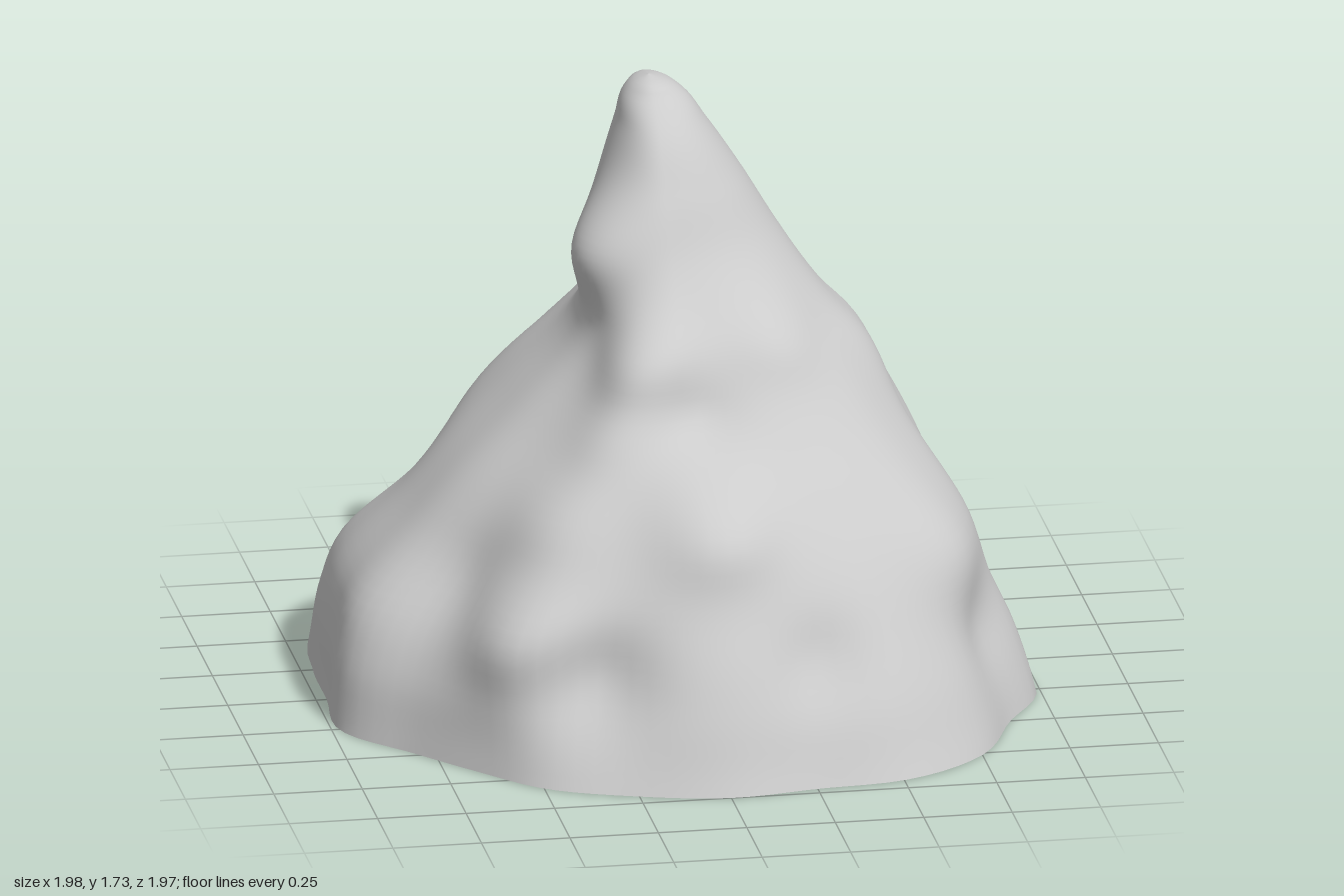
import * as THREE from 'three';

const HEIGHT = 1.73, SIDES = 112, LEVELS = 72;

// Cross-section extents by height: y, -x, +x, -z, +z
const RINGS = [
  [0, -0.99, 0.985, -0.98, 1.0],
  [0.05, -0.985, 0.975, -0.965, 0.98],
  [0.2, -0.97, 0.93, -0.94, 0.93],
  [0.36, -0.92, 0.86, -0.94, 0.86],
  [0.55, -0.74, 0.81, -0.92, 0.74],
  [0.7, -0.6, 0.75, -0.87, 0.62],
  [0.85, -0.44, 0.66, -0.78, 0.49],
  [1.0, -0.29, 0.56, -0.665, 0.37],
  [1.09, -0.24, 0.47, -0.58, 0.31],
  [1.18, -0.225, 0.4, -0.475, 0.24],
  [1.3, -0.21, 0.32, -0.415, 0.155],
  [1.45, -0.17, 0.23, -0.38, 0.085],
  [1.6, -0.125, 0.13, -0.33, 0.0],
  [1.69, -0.095, 0.06, -0.285, -0.09],
  [1.72, -0.06, 0.01, -0.24, -0.13],
  [HEIGHT, -0.03, -0.03, -0.18, -0.18],
];

// Irregularity of the foot every 15 degrees, from +x towards +z
const FOOT = [0.95, 1.04, 1.02, 1.08, 1.07, 1.0, 1.0, 0.98, 0.98, 0.94, 0.95, 1.02,
  0.98, 1.01, 1.07, 0.99, 1.01, 1.02, 0.98, 0.98, 1.0, 1.04, 1.0, 0.98];

// Bulges and hollows: x, y, z, size, push outwards
const BUMPS = [
  [-0.56, 0.42, 0.68, 0.18, 0.09],  // front buttress, low
  [-0.42, 0.68, 0.5, 0.15, 0.05],   // front buttress, middle
  [-0.26, 0.88, 0.4, 0.13, 0.04],   // front buttress, upper
  [-0.16, 1.06, 0.31, 0.13, 0.09],  // ledge at its top
  [0.24, 1.06, 0.24, 0.13, 0.04],   // second ledge
  [-0.76, 0.45, 0.4, 0.2, -0.08],   // gully outside the buttress
  [-0.36, 0.28, 0.82, 0.17, -0.09], // hollow inside it
  [0.02, 0.66, 0.64, 0.17, 0.09],   // front shelf
  [0.02, 0.9, 0.45, 0.12, -0.05],   // hollow above shelf
  [0.3, 0.32, 0.84, 0.13, -0.04],   // front cleft
  [-0.2, 1.3, 0.02, 0.15, 0.09],    // knob below the summit
  [0.78, 0.54, 0.46, 0.2, 0.1],     // left shoulder
  [0.88, 0.3, 0.5, 0.12, -0.05],    // undercut below it
  [0.7, 0.68, -0.05, 0.2, -0.08],   // left valley
  [0.7, 0.5, -0.62, 0.24, 0.07],    // overhang at back left
  [0.56, 0.17, -0.8, 0.13, -0.08],  // undercut below it
  [0.9, 0.32, -0.22, 0.16, 0.03],
  [-0.66, 0.5, -0.56, 0.26, -0.09], // back right hollow
  [-0.2, 0.55, -0.86, 0.17, 0.03],  // back ledge
  [-0.2, 1.1, -0.45, 0.2, -0.05],   // steep back of the neck
];

const extents = new THREE.CubicInterpolant(RINGS.map(r => r[0]), RINGS.flatMap(r => r.slice(1)), 4);
const wrapped = [...FOOT.slice(-2), ...FOOT, ...FOOT.slice(0, 3)];
const foot = new THREE.CubicInterpolant(wrapped.map((_, i) => i - 2), wrapped, 1);

function surfacePoint(angle, y) {
  const [left, right, back, front] = extents.evaluate(y);
  const cx = -0.03 * y / HEIGHT, cz = -0.18 * y / HEIGHT;
  const c = Math.cos(angle), s = Math.sin(angle);
  const fade = Math.max(0, 1 - y / 1.3);
  const k = 1 + (foot.evaluate(angle * 12 / Math.PI)[0] - 1) * fade;
  const p = new THREE.Vector3(
    cx + c * k * Math.abs((c > 0 ? right : left) - cx), y,
    cz + s * k * Math.abs((s > 0 ? front : back) - cz));
  let push = 0;
  for (const [bx, by, bz, size, amount] of BUMPS) {
    const d2 = (p.x - bx) ** 2 + (p.y - by) ** 2 + (p.z - bz) ** 2;
    push += amount * Math.exp(-d2 / (size * size));
  }
  p.x += c * push;
  p.z += s * push;
  return p;
}

export function createModel() {
  const group = new THREE.Group();
  group.name = 'rockMound';
  const material = new THREE.MeshStandardMaterial({ color: 0xcccccc });

  // Rock body: stacked loops, denser towards the rounded summit
  const positions = [], index = [], rim = [];
  for (let i = 0; i <= LEVELS; i++) {
    const y = HEIGHT * (1 - (1 - i / LEVELS) ** 1.5);
    for (let j = 0; j < SIDES; j++) {
      const p = surfacePoint(j / SIDES * Math.PI * 2, y);
      positions.push(p.x, p.y, p.z);
      if (i === 0) rim.push(new THREE.Vector2(p.x, p.z));
      if (i === LEVELS) continue;
      const a = i * SIDES + j, b = i * SIDES + (j + 1) % SIDES;
      index.push(a, a + SIDES, b);
      if (i < LEVELS - 1) index.push(b, a + SIDES, b + SIDES);
    }
  }
  const body = new THREE.BufferGeometry();
  body.setAttribute('position', new THREE.Float32BufferAttribute(positions, 3));
  body.setIndex(index);
  body.computeVertexNormals();
  const rock = new THREE.Mesh(body, material);
  rock.name = 'rockBody';
  group.add(rock);

  // Flat underside
  const base = new THREE.Mesh(new THREE.ShapeGeometry(new THREE.Shape(rim)).rotateX(Math.PI / 2), material);
  base.name = 'underside';
  group.add(base);
  return group;
}
